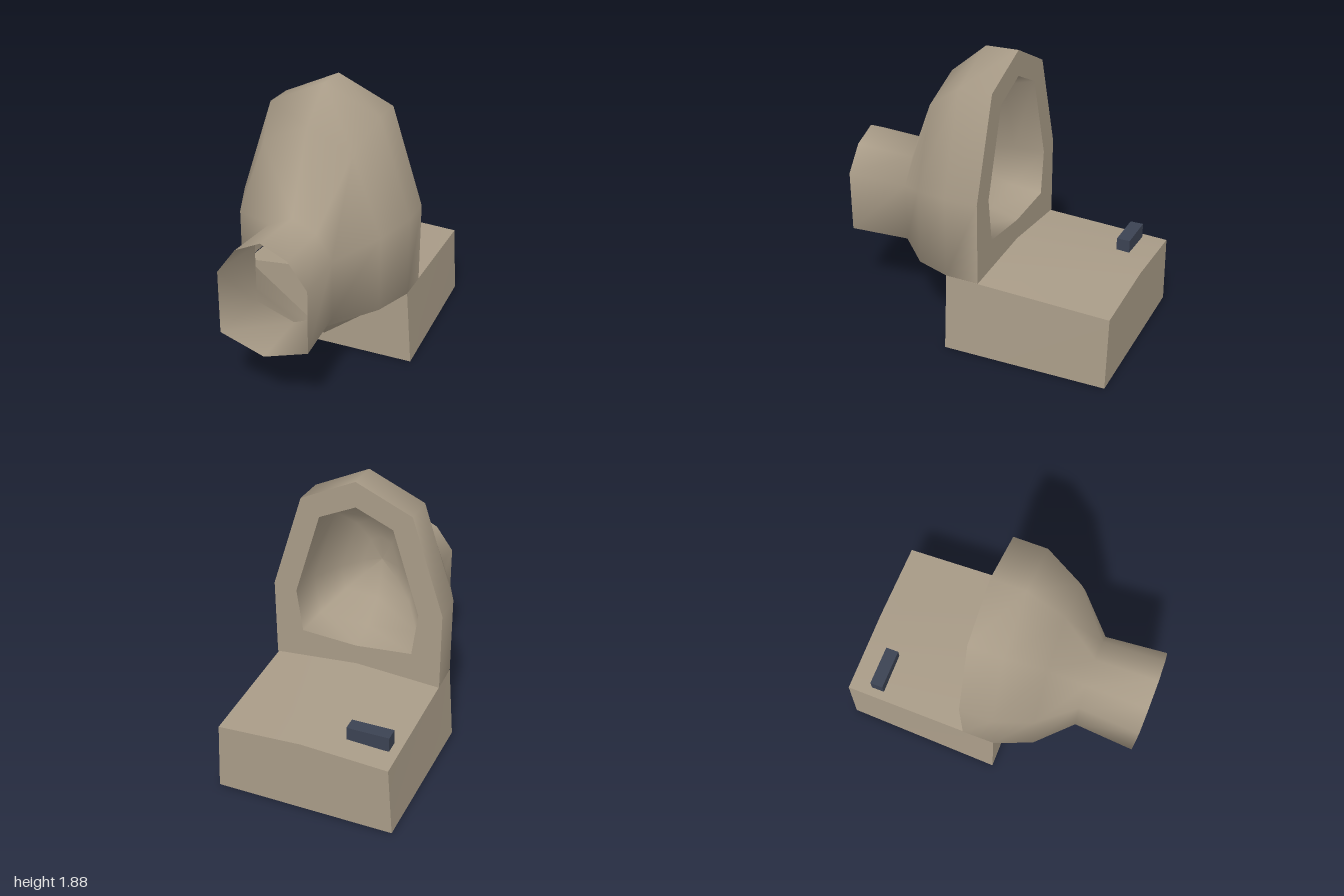
import * as THREE from 'three';

const tan = new THREE.MeshStandardMaterial({ color: 0xa89b87, side: THREE.DoubleSide });
tan.name = 'warm stone';
const navy = new THREE.MeshStandardMaterial({ color: 0x3b4252 });
navy.name = 'dark slate';

// Smooth surface through rows of [x, y, z] points; skip(i, j) leaves a quad open
function loft(name, rows, closed = false, skip = () => false) {
  const n = rows[0].length, index = [];
  for (let i = 0; i < rows.length - 1; i++) {
    for (let j = 0; j < (closed ? n : n - 1); j++) {
      if (skip(i, j)) continue;
      const k = (j + 1) % n;
      const a = i * n + j, b = i * n + k, c = a + n, d = b + n;
      index.push(a, b, c, b, d, c);
    }
  }
  const geo = new THREE.BufferGeometry();
  geo.setAttribute('position', new THREE.Float32BufferAttribute(rows.flat(2), 3));
  geo.setIndex(index);
  geo.computeVertexNormals();
  const mesh = new THREE.Mesh(geo, tan);
  mesh.name = name;
  return mesh;
}

// Eight-sided ring from its +x half: top, shoulder, upper side, lower side, bottom
function ring(z, top, sx, sy, ux, uy, lx, ly, bottom) {
  const side = [[sx, sy], [ux, uy], [lx, ly]];
  return [
    [0, top, z],
    ...side.map(([x, y]) => [x, y, z]),
    [0, bottom, z],
    ...side.reverse().map(([x, y]) => [-x, y, z]),
  ];
}

// Housing section: lower right, upper right, ridge, upper left, lower left
const section = (z, wBase, wTop, yTop, yRidge) => [
  [-wBase, 0, z], [-wTop, yTop, z], [0, yRidge, z], [wTop, yTop, z], [wBase, 0, z],
];

export function createModel() {
  const model = new THREE.Group();

  // Flared neck and hood, open at the front
  const hood = [
    ring(1, 1.19, 0.17, 1.11, 0.295, 0.94, 0.295, 0.52, 0.42),
    ring(0.58, 1.165, 0.16, 1.09, 0.265, 0.92, 0.265, 0.52, 0.425),
    ring(0.35, 1.68, 0.3, 1.54, 0.49, 1.02, 0.49, 0.51, 0.22),
    ring(0.1, 1.88, 0.375, 1.71, 0.59, 1.06, 0.59, 0.52, 0.07),
    ring(-0.125, 1.88, 0.375, 1.71, 0.59, 1.06, 0.59, 0.515, 0.56),
  ];
  model.add(loft('hood', hood, true, (i, j) => i === 3 && (j === 3 || j === 4)));

  // Flat rear rim
  const opening = ring(-0.125, 1.71, 0.25, 1.6, 0.43, 1.03, 0.39, 0.73, 0.7);
  model.add(loft('rearRim', [hood[4], opening], true));

  // Closed bowl set into the rim
  const bowl = [[1, -0.125], [0.9, 0.08], [0.6, 0.25], [0.3, 0.32], [0, 0.34]].map(([s, z]) =>
    opening.map(([x, y]) => [x * s, 1.13 + (y - 1.13) * s, z]));
  model.add(loft('bowl', bowl, true));

  // Rear housing, open underneath
  const housing = new THREE.Group();
  housing.name = 'housing';
  const s = [
    section(0.1, 0.63, 0.59, 0.52, 0.575),
    section(-0.125, 0.624, 0.586, 0.511, 0.56),
    section(-1, 0.6, 0.57, 0.475, 0.505),
  ];
  const strip = (from, to) => s.map((row) => row.slice(from, to));
  housing.add(
    loft('housingRightWall', strip(0, 2)),
    loft('housingTop', strip(1, 4)),
    loft('housingLeftWall', strip(3, 5)),
  );
  const upper = (row) => row.slice(1, 4);
  const lower = (row) => [row[0], [0, 0, row[0][2]], row[4]];
  housing.add(
    loft('housingFront', [lower(s[0]), upper(s[0])]),
    loft('housingBack', [upper(s[2]), lower(s[2])]),
  );
  model.add(housing);

  // Small block on the housing
  const block = new THREE.Mesh(new THREE.BoxGeometry(0.28, 0.1, 0.09), navy);
  block.name = 'block';
  block.position.set(-0.375, 0.54, -0.797);
  model.add(block);

  return model;
}
